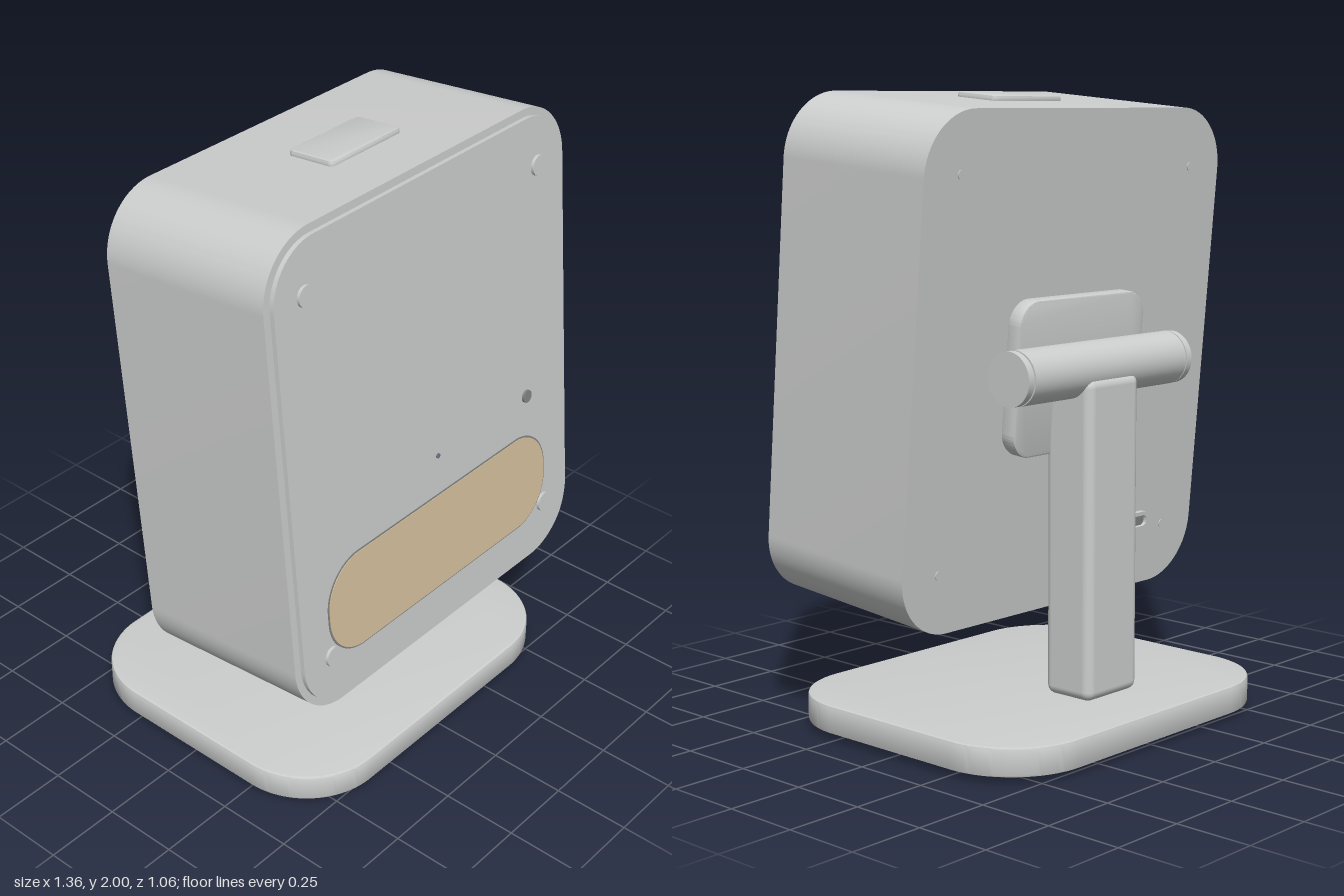
import * as THREE from 'three';
import { toCreasedNormals } from 'three/addons/utils/BufferGeometryUtils.js';
import { RoundedBoxGeometry } from 'three/addons/geometries/RoundedBoxGeometry.js';

const shell = new THREE.MeshStandardMaterial({ color: 0xcccecd });
shell.name = 'shell grey';
const tan = new THREE.MeshStandardMaterial({ color: 0xd6c29e });
tan.name = 'speaker tan';
const rubber = new THREE.MeshStandardMaterial({ color: 0x838584 });
rubber.name = 'rubber grey';
const slate = new THREE.MeshStandardMaterial({ color: 0x6c7686 });
slate.name = 'sensor slate';

function roundedRect(target, w, h, r) {
  const x = w / 2, y = h / 2;
  target.moveTo(-x + r, -y);
  target.lineTo(x - r, -y);
  target.absarc(x - r, -y + r, r, -Math.PI / 2, 0);
  target.lineTo(x, y - r);
  target.absarc(x - r, y - r, r, 0, Math.PI / 2);
  target.lineTo(-x + r, y);
  target.absarc(-x + r, y - r, r, Math.PI / 2, Math.PI);
  target.lineTo(-x, -y + r);
  target.absarc(-x + r, -y + r, r, Math.PI, Math.PI * 1.5);
  return target;
}

// Rounded plate facing z, from z = 0 to z = depth, with an optional bevel and opening
function plate(w, h, r, depth, bevel = 0, hole = null) {
  const shape = roundedRect(new THREE.Shape(), w - 2 * bevel, h - 2 * bevel, r - bevel);
  if (hole) shape.holes.push(roundedRect(new THREE.Path(), ...hole));
  const geo = new THREE.ExtrudeGeometry(shape, {
    depth: depth - 2 * bevel, curveSegments: 16,
    bevelEnabled: bevel > 0, bevelSize: bevel, bevelThickness: bevel, bevelSegments: 2,
  });
  geo.translate(0, 0, bevel);
  return toCreasedNormals(geo, 0.5);
}

function add(parent, name, geo, mat, x = 0, y = 0, z = 0) {
  const mesh = new THREE.Mesh(geo, mat);
  mesh.name = name;
  mesh.position.set(x, y, z);
  parent.add(mesh);
  return mesh;
}

// Disc facing z, centred on its thickness
const disc = (r, t) => new THREE.CylinderGeometry(r, r, t, 32).rotateX(Math.PI / 2);

export function createModel() {
  const model = new THREE.Group();
  model.name = 'desktopDevice';

  // Foot plate and rubber feet
  const baseGeo = plate(1.28, 1.06, 0.27, 0.09, 0.008).rotateX(-Math.PI / 2);
  add(model, 'base', baseGeo, shell, 0, 0.02, 0);
  for (const x of [-0.41, 0.41]) {
    for (const z of [-0.295, 0.295]) {
      add(model, 'foot', new THREE.CylinderGeometry(0.075, 0.075, 0.022, 32), rubber, x, 0.011, z);
    }
  }

  // Upright arm and hinge barrel
  add(model, 'arm', new RoundedBoxGeometry(0.24, 1.01, 0.185, 4, 0.03), shell, 0, 0.63, -0.258);
  const barrel = (r, l) => new THREE.CylinderGeometry(r, r, l, 48).rotateZ(Math.PI / 2);
  add(model, 'hingeBarrel', barrel(0.085, 0.71), shell, 0, 1.155, -0.26);
  for (const s of [-1, 1]) {
    add(model, 'hingeNeck', barrel(0.078, 0.01), shell, s * 0.358, 1.155, -0.26);
    add(model, 'hingeCap', barrel(0.084, 0.024), shell, s * 0.373, 1.155, -0.26);
  }

  // Tilted head
  const head = new THREE.Group();
  head.name = 'head';
  head.position.set(0, 1.1875, 0.14);
  head.rotation.x = -THREE.MathUtils.degToRad(5);
  model.add(head);

  add(head, 'body', plate(1.36, 1.58, 0.2, 0.602), shell, 0, 0, -0.301);
  add(head, 'frontPanel', plate(1.31, 1.53, 0.175, 0.015), shell, 0, 0, 0.301);
  const front = 0.316, back = -0.301;

  // Speaker window with a thin dark rim
  add(head, 'speakerRim', plate(1.075, 0.336, 0.15, 0.002), rubber, 0, -0.466, front);
  add(head, 'speakerCloth', plate(1.064, 0.326, 0.145, 0.004), tan, 0, -0.466, front);

  // Corner studs in front, screws behind
  for (const x of [-0.53, 0.53]) {
    for (const y of [-0.6, 0.6]) {
      add(head, 'frontStud', disc(0.033, 0.02), shell, x, y, front);
      add(head, 'backScrew', disc(0.014, 0.006), shell, x, y, back);
    }
  }

  // Light sensor and microphone
  add(head, 'sensor', disc(0.021, 0.016), rubber, 0.45, -0.165, front);
  add(head, 'microphone', disc(0.008, 0.008), slate, 0, -0.165, front);

  // Top button
  const button = plate(0.31, 0.168, 0.015, 0.03, 0.008).rotateX(-Math.PI / 2);
  add(head, 'topButton', button, shell, 0, 0.777, 0.02);

  // Hinge plate on the back
  add(head, 'hingePlate', plate(0.58, 0.487, 0.08, 0.052, 0.006), shell, 0, -0.025, back - 0.05);

  // Charging port: a raised ring around a dark slot
  const ring = plate(0.15, 0.062, 0.03, 0.016, 0, [0.12, 0.036, 0.0175]);
  add(head, 'portRing', ring, shell, -0.37, -0.57, back - 0.016);
  add(head, 'portSlot', plate(0.12, 0.036, 0.0175, 0.004), rubber, -0.37, -0.57, back - 0.004);

  return model;
}
